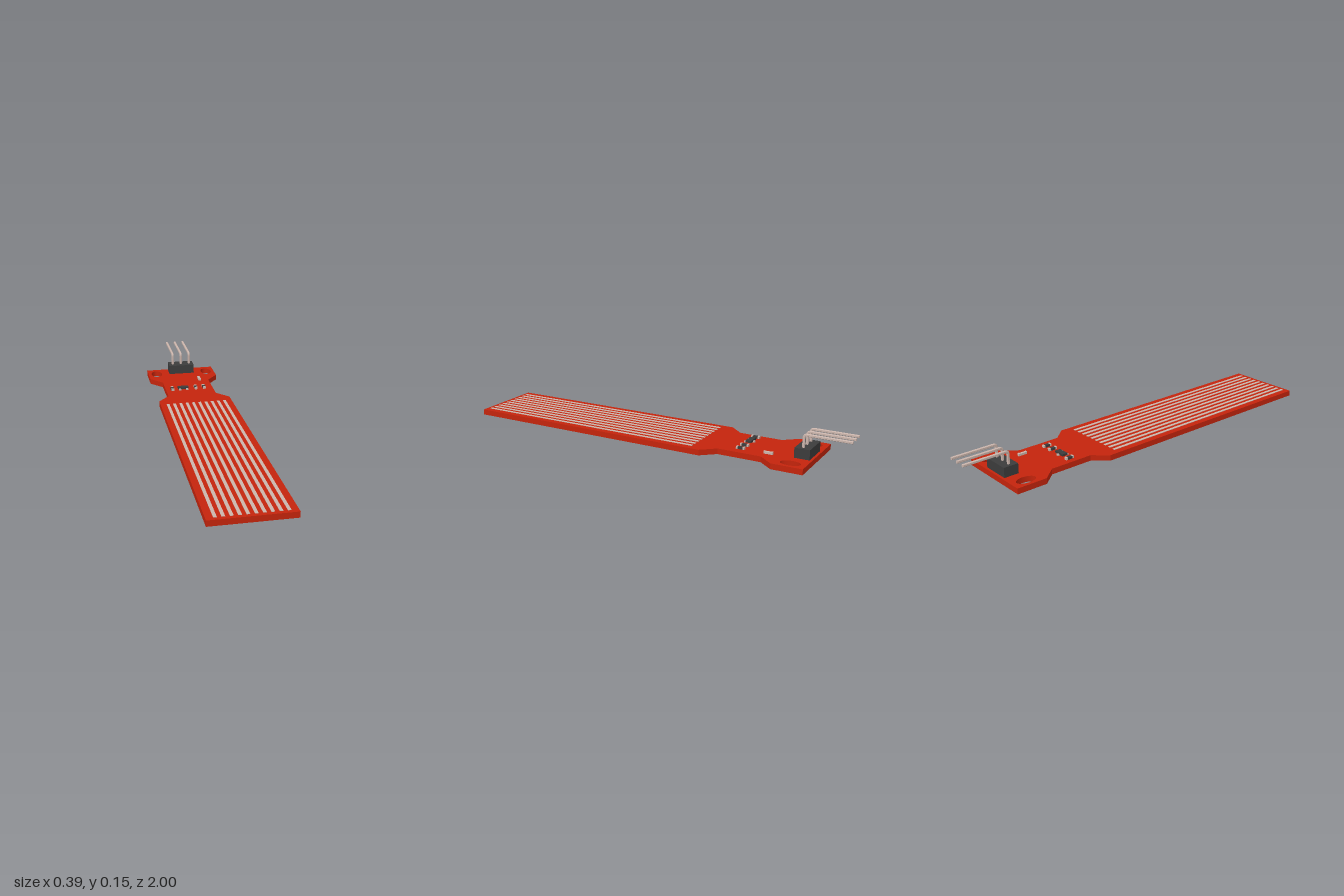
import * as THREE from 'three';

const mat = (color) => new THREE.MeshStandardMaterial({ color });
const red = mat(0xc4240c), metal = mat(0xcbb5ac), dark = mat(0x3c3c3c);
const BOTTOM = 0.01, TOP = 0.038;

function box(name, material, [w, h, d], [x, y, z]) {
  const mesh = new THREE.Mesh(new THREE.BoxGeometry(w, h, d), material);
  mesh.name = name;
  mesh.position.set(x, y + h / 2, z); // y is the underside
  return mesh;
}

// Waisted board with two oval mounting holes
function makeBoard() {
  const half = [[0.193, -1], [0.193, 0.31], [0.132, 0.38], [0.132, 0.6], [0.193, 0.672], [0.193, 0.825]];
  const mirrored = half.map(([x, y]) => [-x, y]).reverse();
  const shape = new THREE.Shape([...half, ...mirrored].map(([x, y]) => new THREE.Vector2(x, y)));
  for (const side of [-1, 1]) {
    const hole = new THREE.Path();
    hole.absellipse(side * 0.146, 0.75, 0.03, 0.049, 0, Math.PI * 2, true);
    shape.holes.push(hole);
  }
  const geo = new THREE.ExtrudeGeometry(shape, { depth: TOP - BOTTOM, bevelEnabled: false, curveSegments: 32 });
  geo.rotateX(-Math.PI / 2).translate(0, BOTTOM, 0);
  const mesh = new THREE.Mesh(geo, red);
  mesh.name = 'board';
  return mesh;
}

// Right-angle pin: bent bar profile with softened edges
function makePin(x) {
  const b = 0.002, a = 0.767 + b, c = 0.779 - b, lo = 0.142 + b, hi = 0.154 - b;
  const s = new THREE.Shape();
  s.moveTo(a, b);
  s.lineTo(c, b);
  s.lineTo(c, lo - 0.008);
  s.quadraticCurveTo(c, lo, c + 0.008, lo);
  s.lineTo(1 - b, lo);
  s.lineTo(1 - b, hi);
  s.lineTo(a + 0.018, hi);
  s.quadraticCurveTo(a, hi, a, hi - 0.018);
  s.closePath();
  const geo = new THREE.ExtrudeGeometry(s, {
    depth: 0.008, bevelSize: b, bevelThickness: b, bevelSegments: 1, curveSegments: 6,
  });
  geo.translate(0, 0, -0.004).rotateY(Math.PI / 2);
  const mesh = new THREE.Mesh(geo, metal);
  mesh.name = 'headerPin';
  mesh.position.x = x;
  return mesh;
}

// Surface-mount chip: body between two metal end caps along z
function makeChip(name, x, z, bodyMaterial, width, length) {
  const g = new THREE.Group();
  g.name = name;
  g.add(box('chipBody', bodyMaterial, [width, 0.011, length * 0.6], [x, TOP, z]));
  for (const s of [-1, 1]) {
    g.add(box('chipEndCap', metal, [width, 0.012, length * 0.2], [x, TOP, z + s * length * 0.4]));
  }
  return g;
}

// Three-legged transistor
function makeTransistor(x, z) {
  const g = new THREE.Group();
  g.name = 'transistor';
  g.add(box('transistorBody', dark, [0.058, 0.011, 0.028], [x, TOP + 0.003, z]));
  for (const [dx, s] of [[-0.02, 1], [0.02, 1], [0, -1]]) {
    g.add(box('transistorLeg', metal, [0.012, 0.008, 0.01], [x + dx, TOP, z + s * 0.018]));
  }
  return g;
}

export function createModel() {
  const model = new THREE.Group();
  model.name = 'waterSensor';
  model.add(makeBoard());

  // Parallel sensing traces
  for (let i = 0; i < 10; i++) {
    model.add(box('sensingTrace', metal, [0.015, 0.003, 1.24], [(i - 4.5) * 0.034, TOP - 0.001, 0.362]));
  }

  // Pin header
  model.add(box('headerBlock', dark, [0.143, 0.049, 0.075], [0.001, TOP, -0.775]));
  for (const x of [-0.047, 0.001, 0.049]) model.add(makePin(x));

  // Small components on the waist
  for (const x of [-0.096, 0.036, 0.083]) model.add(makeChip('resistor', x, -0.477, dark, 0.016, 0.043));
  model.add(makeTransistor(-0.035, -0.477));
  model.add(makeChip('indicatorLight', 0.082, -0.617, metal, 0.013, 0.046));
  return model;
}
